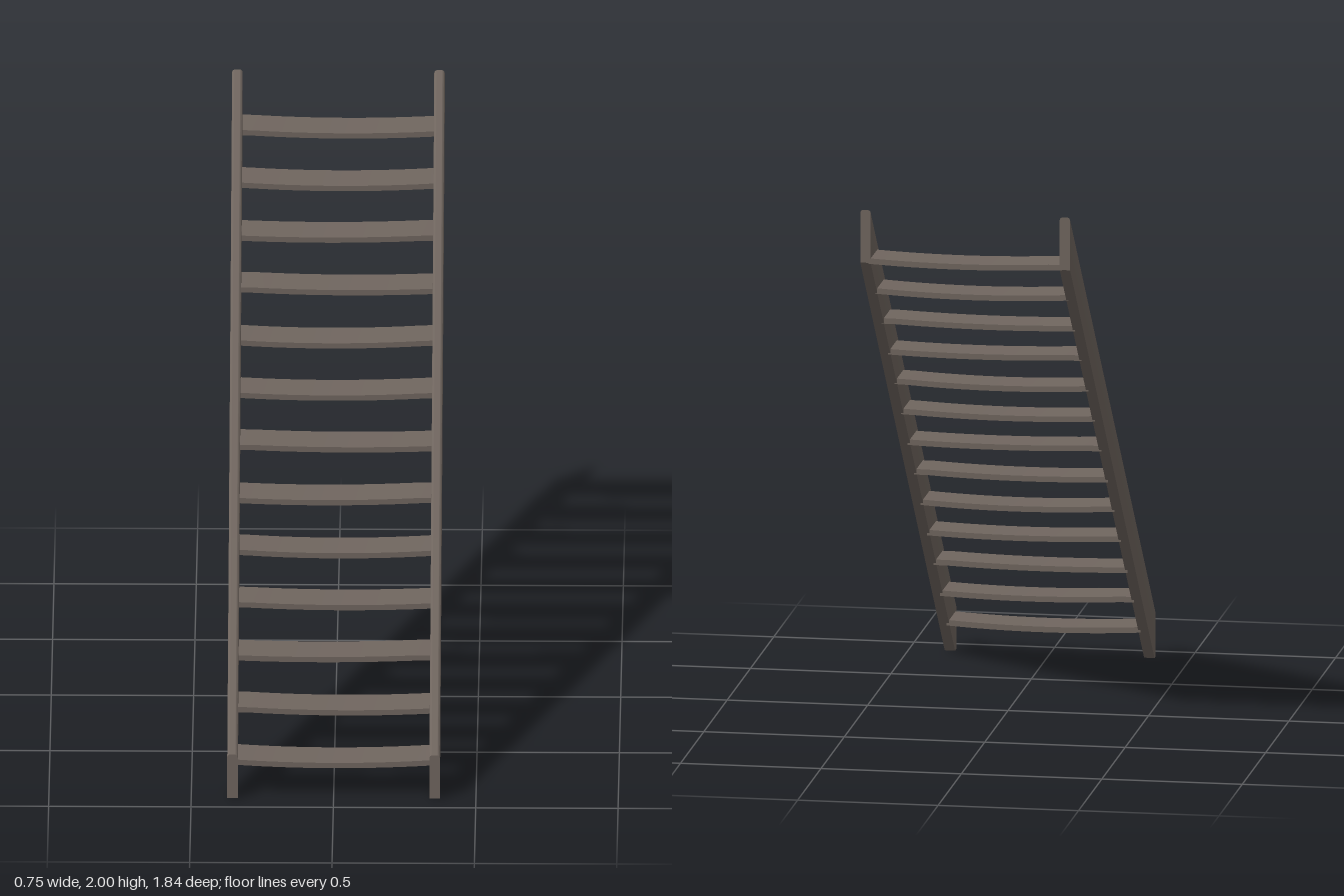
import * as THREE from 'three';
import { toCreasedNormals } from 'three/addons/utils/BufferGeometryUtils.js';

const END = 0.9175;   // half the run of the flight
const COUNT = 13;     // number of treads

// Sloping side board: rounded-top section swept along z, then sheared up the slope
function stringerGeometry() {
  const w = 0.0185, h = 0.19, r = 0.011;
  const s = new THREE.Shape();
  s.moveTo(-w, 0);
  s.lineTo(w, 0);
  s.lineTo(w, h - r);
  s.absarc(w - r, h - r, r, 0, Math.PI / 2);
  s.absarc(-w + r, h - r, r, Math.PI / 2, Math.PI);
  s.lineTo(-w, 0);
  const geo = new THREE.ExtrudeGeometry(s, { depth: 2, steps: 2, bevelEnabled: false, curveSegments: 4 });
  const stations = [-END, 0.8925, END];   // the foot is cut level with the floor
  const p = geo.attributes.position;
  for (let i = 0; i < p.count; i++) {
    const z = stations[Math.round(p.getZ(i))];
    const top = 2 - END - z;
    const y = p.getY(i) < 1e-5 ? Math.max(0, top - h) : top - h + p.getY(i);
    p.setXYZ(i, p.getX(i), y, z);
  }
  return toCreasedNormals(geo, 0.6);
}

// Worn tread: a thin board dipping in the middle, each a little differently
function treadGeometry(i) {
  const geo = new THREE.BoxGeometry(0.69, 0.02, 0.14, 14, 1, 1);
  const p = geo.attributes.position;
  const shift = 0.05 * Math.sin(i * 2.3);
  const sag = 0.01 + 0.002 * Math.sin(i * 1.7 + 1);
  for (let k = 0; k < p.count; k++) {
    const t = (p.getX(k) - shift) / 0.345;
    p.setY(k, p.getY(k) - sag * Math.max(0, 1 - t * t));
  }
  return toCreasedNormals(geo, 0.5);
}

export function createModel() {
  const group = new THREE.Group();
  group.name = 'staircase';
  const wood = new THREE.MeshStandardMaterial({ color: 0x70665f });
  wood.name = 'weatheredWood';

  // Side boards
  const side = stringerGeometry();
  for (const [name, sx] of [['leftStringer', 1], ['rightStringer', -1]]) {
    const m = new THREE.Mesh(side, wood);
    m.name = name;
    m.position.x = sx * 0.355;
    group.add(m);
  }

  // Treads
  for (let i = 0; i < COUNT; i++) {
    const m = new THREE.Mesh(treadGeometry(i), wood);
    m.name = 'tread' + (i + 1);
    m.position.set(0, 0.13 + i * 0.1407, 0.833 - i * 0.14);
    group.add(m);
  }
  return group;
}
